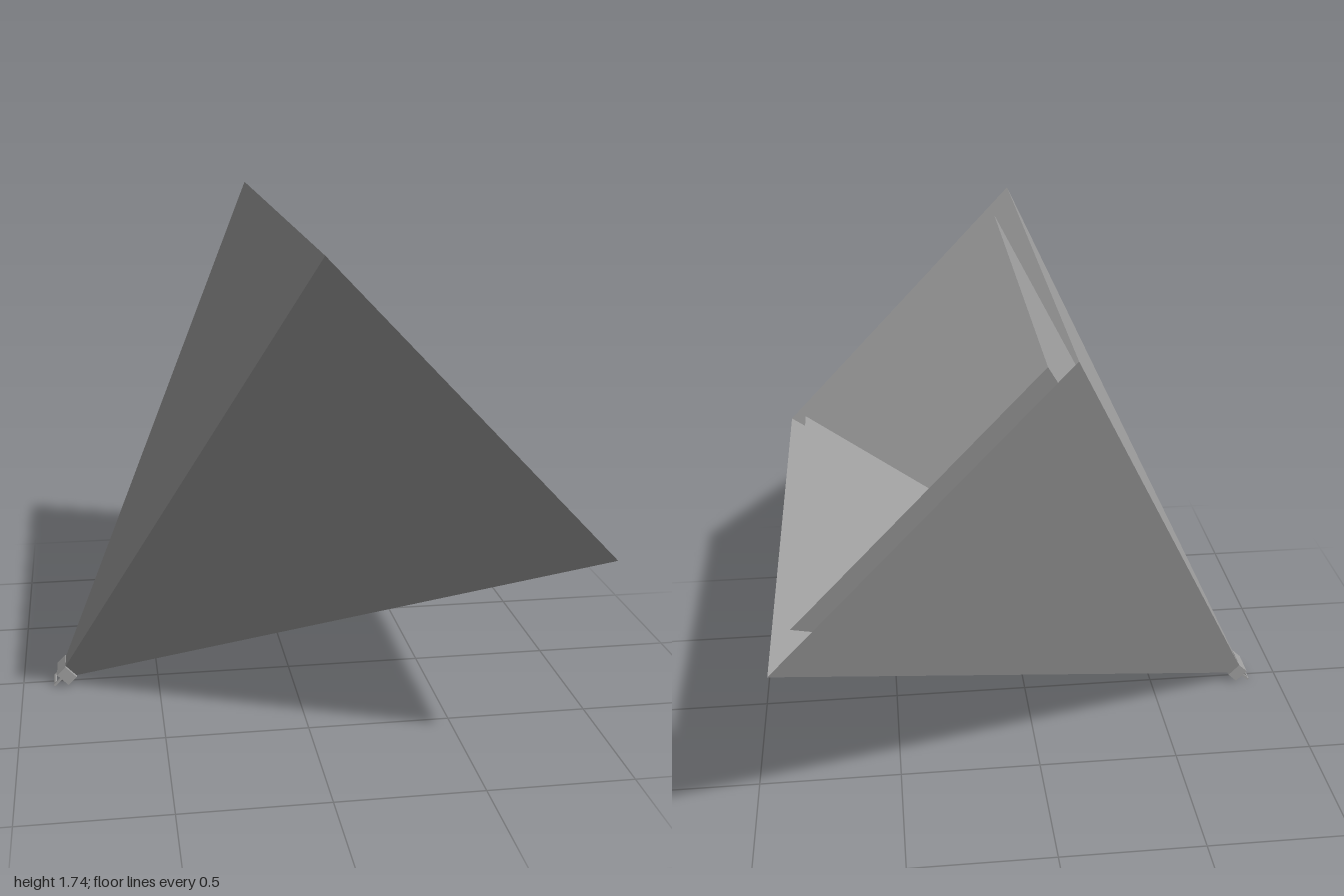
import * as THREE from 'three';

// Four-sided open horn along +x, straight walls converging on the origin
function hornGeometry(start, end, halfHeight, halfWidth) {
  const ring = (x) => [[1, 1], [1, -1], [-1, -1], [-1, 1]].map(
    ([y, z]) => [x, y * halfHeight * x / end, z * halfWidth * x / end]);
  const a = ring(start), b = ring(end), points = [];
  for (let i = 0; i < 4; i++) {
    const j = (i + 1) % 4;
    points.push(...a[i], ...b[i], ...b[j], ...a[i], ...b[j], ...a[j]);
  }
  // small end wall at the throat
  points.push(...a[0], ...a[1], ...a[2], ...a[0], ...a[2], ...a[3]);
  const g = new THREE.BufferGeometry();
  g.setAttribute('position', new THREE.Float32BufferAttribute(points, 3));
  g.computeVertexNormals();
  return g;
}

export function createModel() {
  const model = new THREE.Group();
  model.name = 'horn';
  const grey = new THREE.MeshStandardMaterial({ color: 0xa0a0a0, side: THREE.DoubleSide });
  grey.name = 'grey';

  // Tilted frame: local x runs from throat to mouth
  const horn = new THREE.Group();
  horn.name = 'tiltedHorn';
  horn.position.set(-0.876, 0.004, 0);
  horn.rotation.z = 0.764;
  model.add(horn);

  const add = (name, geometry, x = 0, y = 0, z = 0, parent = horn) => {
    const mesh = new THREE.Mesh(geometry, grey);
    mesh.name = name;
    mesh.position.set(x, y, z);
    parent.add(mesh);
  };

  // Two nested shells sharing one mouth plane
  add('outerShell', hornGeometry(0.06, 1.8, 0.67, 1), 0, 0, 0);
  add('innerShell', hornGeometry(0.06, 1.8, 0.573, 0.85), 0, 0, 0);

  // Collar around the throat
  add('collar', new THREE.BoxGeometry(0.044, 0.058, 0.11), 0.052, 0, 0);

  // Thin loop behind the collar
  const loop = new THREE.Group();
  loop.name = 'loop';
  loop.position.y = 0.004;
  horn.add(loop);
  for (const s of [-1, 1]) {
    add('loopArm', new THREE.BoxGeometry(0.044, 0.008, 0.008), 0.014, 0, s * 0.041, loop);
  }
  add('loopBar', new THREE.BoxGeometry(0.008, 0.008, 0.09), -0.006, 0, 0, loop);

  return model;
}
